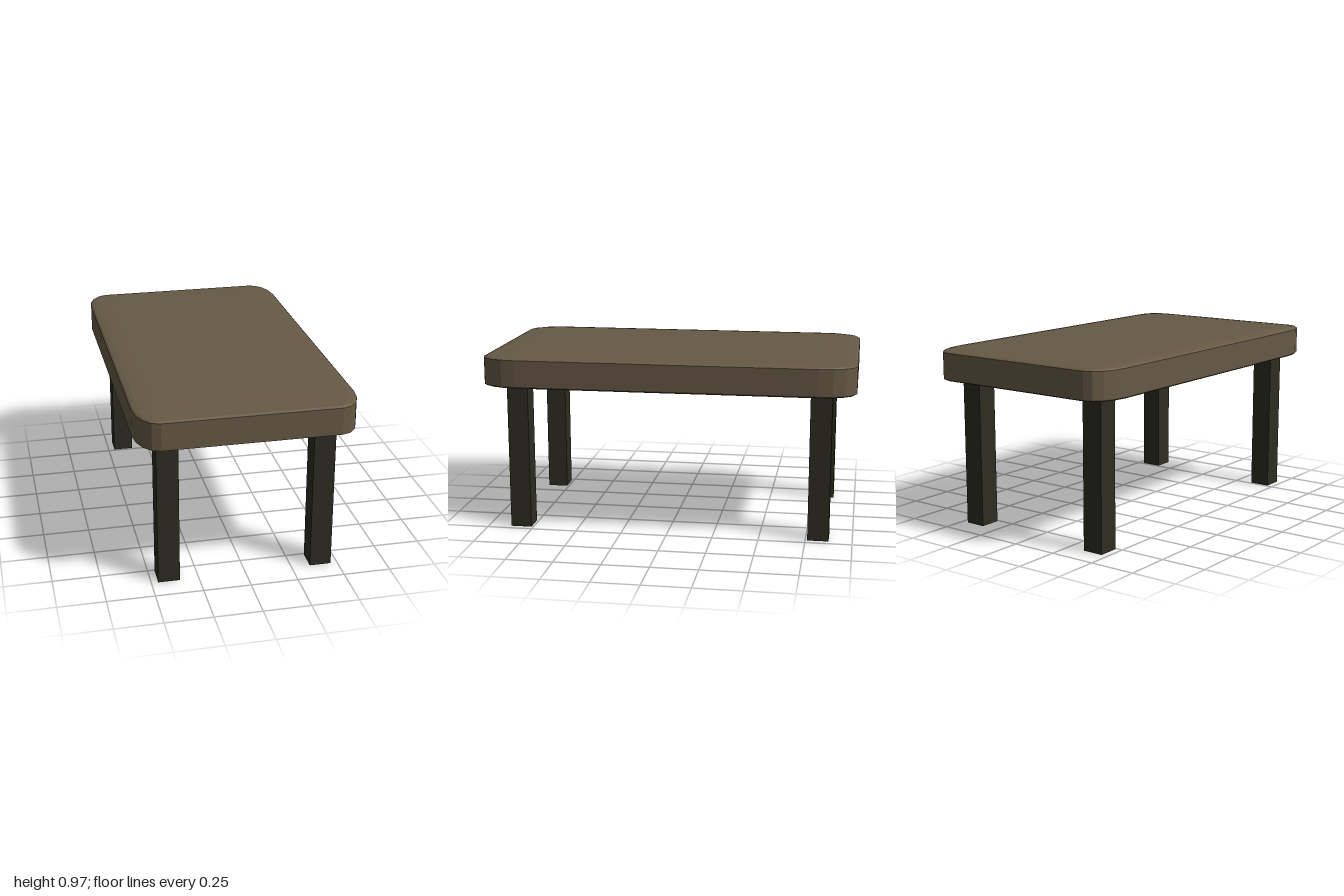
import * as THREE from 'three';

// Unit box (half size 1) with faceted round edges: a sphere grid whose octants are pushed apart.
function roundedSlab(hx, hy, hz, radius, steps) {
  const n = steps + 1, cols = 4 * n, rows = 2 * n + 1;
  const core = 1 - radius, step = Math.PI / 2 / steps;
  const grid = new THREE.SphereGeometry(1, cols, rows);
  const pos = grid.attributes.position;
  for (let j = 0; j <= rows; j++) {
    for (let i = 0; i <= cols; i++) {
      const k = j * (cols + 1) + i;
      // first and last rows close the flat top and bottom
      if (j === 0 || j === rows) {
        pos.setXYZ(k, 0, j === 0 ? hy : -hy, 0);
        continue;
      }
      const corner = Math.floor((i % cols) / n);
      const a = corner * Math.PI / 2 + (i % n) * step;
      const upper = j <= n;
      const v = (upper ? j - 1 : j - 2) * step;
      const sx = corner === 0 || corner === 3 ? 1 : -1;
      const sz = corner < 2 ? 1 : -1;
      const ring = radius * Math.sin(v);
      pos.setXYZ(k,
        -hx * (Math.cos(a) * ring + sx * core),
        hy * (Math.cos(v) * radius + (upper ? core : -core)),
        hz * (Math.sin(a) * ring + sz * core));
    }
  }
  const flat = grid.toNonIndexed();
  flat.computeVertexNormals();
  return flat;
}

export function createModel() {
  const model = new THREE.Group();
  model.name = 'table';

  const wood = new THREE.MeshStandardMaterial({ color: 0x665945 });
  wood.name = 'brown wood';
  const dark = new THREE.MeshStandardMaterial({ color: 0x2d2d22 });
  dark.name = 'dark leg';

  // Thick top with rounded corners
  const top = new THREE.Mesh(roundedSlab(0.57, 0.09, 1, 0.2, 4), wood);
  top.name = 'tableTop';
  top.position.y = 0.88;
  model.add(top);

  // Four square legs, sunk slightly into the top
  const legHeight = 0.81;
  const legGeometry = new THREE.BoxGeometry(0.114, legHeight, 0.114);
  for (const [side, sx] of [['Left', 1], ['Right', -1]]) {
    for (const [end, sz] of [['front', 1], ['back', -1]]) {
      const leg = new THREE.Mesh(legGeometry, dark);
      leg.name = `${end}${side}Leg`;
      leg.position.set(sx * 0.407, legHeight / 2, sz * 0.818);
      model.add(leg);
    }
  }
  return model;
}
